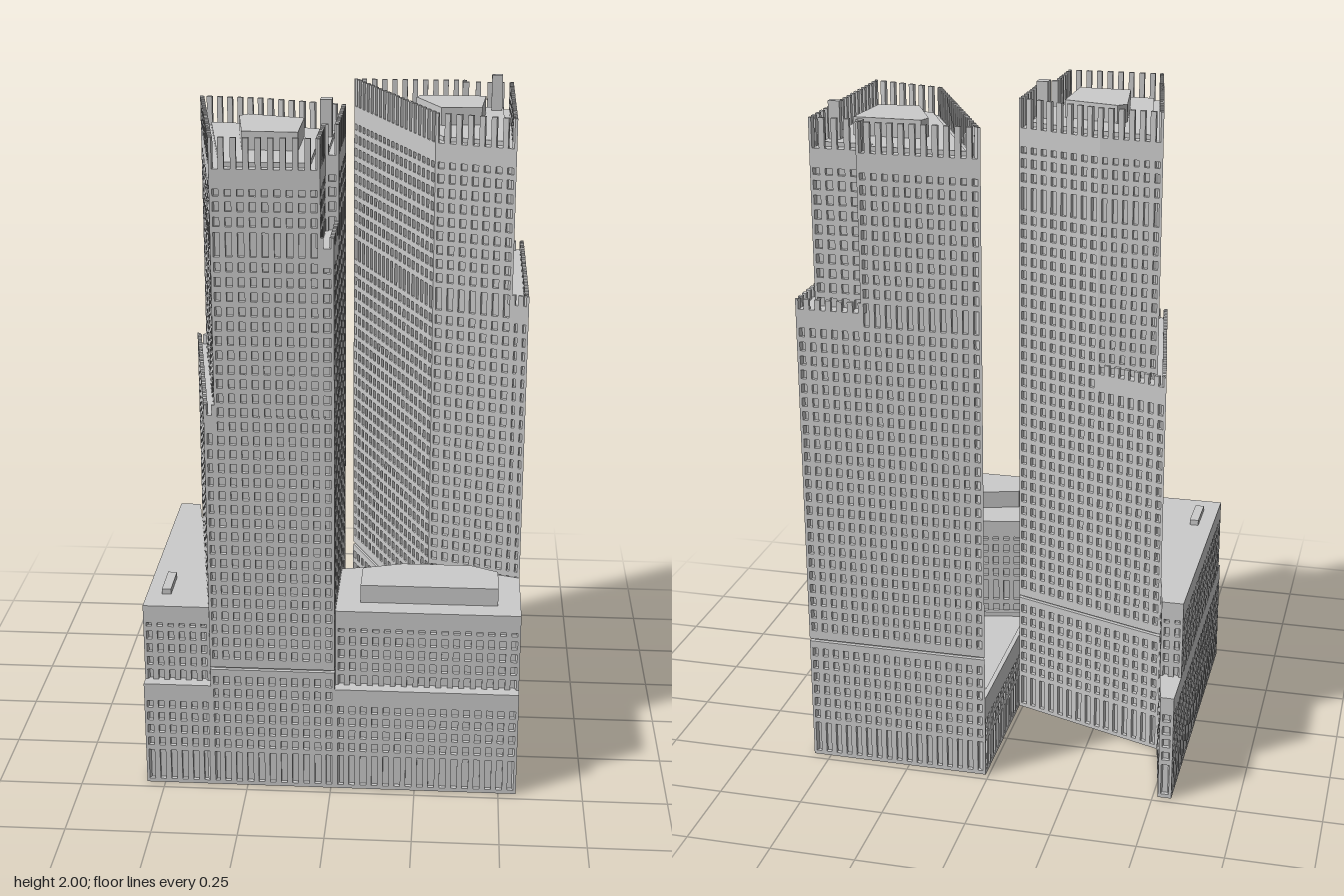
import * as THREE from 'three';
import { mergeGeometries } from 'three/addons/utils/BufferGeometryUtils.js';

const DEPTH = 0.012;   // window recess
const BAY = 0.033;     // pier spacing
const FLOOR = 0.042;   // storey height
const SLAB = 0.016;    // spandrel height
const material = new THREE.MeshStandardMaterial({ color: 0xcccccc, flatShading: true });

// Vertical prism over a plan outline of [x, z] points
function prism(pts, y0, y1) {
  const shape = new THREE.Shape(pts.map(([x, z]) => new THREE.Vector2(x, -z)));
  return new THREE.ExtrudeGeometry(shape, { depth: y1 - y0, bevelEnabled: false })
    .rotateX(-Math.PI / 2).translate(0, y0, 0);
}

function edge(pts, i) {
  const a = pts[i], b = pts[(i + 1) % pts.length];
  const len = Math.hypot(b[0] - a[0], b[1] - a[1]);
  const d = [(b[0] - a[0]) / len, (b[1] - a[1]) / len];
  return { a, b, len, d, n: [-d[1], d[0]] };   // n points inward
}

// Mitred inward offset of an outline
function inset(pts, dist) {
  return pts.map((p, i) => {
    const m = edge(pts, (i + pts.length - 1) % pts.length).n, n = edge(pts, i).n;
    const k = dist / (1 + m[0] * n[0] + m[1] * n[1]);
    return [p[0] + (m[0] + n[0]) * k, p[1] + (m[1] + n[1]) * k];
  });
}

// Building volume with recessed windows. One letter per wall:
// f = solid band topped by fins, b = solid band, c = wall continues above, x = plain wall
function block(name, pts, y0, y1, walls, finHeight = 0.03) {
  const inner = inset(pts, DEPTH);
  const parts = [prism(inner, y0, y1)];
  const tower = y0 === 0 && y1 > 0.6;
  pts.forEach((_, i) => {
    const kind = walls[i];
    const { a, b, len, d, n } = edge(pts, i);
    const ai = inner[i], bi = inner[(i + 1) % pts.length];
    const strip = (lo, hi) => parts.push(prism([a, b, bi, ai], lo, hi));
    if (kind === 'x') return strip(y0, y1);

    // spandrels, plinth and top band
    const band = kind === 'c' ? 0 : 0.055;
    if (band) strip(y1 - band, y1);
    if (y0 === 0) strip(0, 0.012);
    for (let y = 0.11; y + SLAB < y1 - band; y += FLOOR) if (y >= y0) strip(y, y + SLAB);
    if (tower) { strip(0.366, 0.385); strip(0.393, 0.41); }

    // piers, rising past the band as fins
    const s0 = (ai[0] - a[0]) * d[0] + (ai[1] - a[1]) * d[1];
    const s1 = len + (bi[0] - b[0]) * d[0] + (bi[1] - b[1]) * d[1];
    const at = (t, k) => [a[0] + d[0] * t + n[0] * k, a[1] + d[1] * t + n[1] * k];
    const count = Math.max(1, Math.round(len / BAY));
    const top = y1 + (kind === 'f' ? finHeight : 0);
    for (let j = 0; j <= count; j++) {
      const c = (len * j) / count;
      const t0 = Math.max(0, c - 0.008), t1 = Math.min(len, c + 0.008);
      const u0 = j === 0 ? s0 : Math.min(Math.max(t0, s0), s1 - 0.001);
      const u1 = j === count ? s1 : Math.max(Math.min(t1, s1), u0 + 0.001);
      const quad = [at(t0, 0), at(t1, 0), at(u1, DEPTH), at(u0, DEPTH)];
      if (tower) {
        // thin groove running round the tower
        parts.push(prism(quad, y0, 0.385), prism(quad, 0.393, top));
      } else parts.push(prism(quad, y0, top));
    }
  });
  return named(name, mergeGeometries(parts));
}

function named(name, geometry) {
  const mesh = new THREE.Mesh(geometry, material);
  mesh.name = name;
  return mesh;
}

const solid = (name, pts, y0, y1) => named(name, prism(pts, y0, y1));
const rect = (x0, z0, x1, z1) => [[x0, z0], [x1, z0], [x1, z1], [x0, z1]];

function group(name, ...children) {
  const g = new THREE.Group();
  g.name = name;
  g.add(...children);
  return g;
}

export function createModel() {
  const FIN = 0.085, ROOF = 1.88;

  // Tower at the front, stepping back on its outer side and one corner
  const frontTop = [[-0.43, -0.15], [-0.245, -0.127], [0.012, -0.035], [0.012, 0.275],
    [-0.025, 0.275], [-0.025, 0.472], [-0.325, 0.472]];
  const frontTower = group('frontTower',
    block('frontTowerLower', [[-0.465, -0.205], [-0.245, -0.127], [0.012, -0.035], [0.012, 0.472],
      [-0.325, 0.472], [-0.355, 0.472]], 0, 1.18, 'fcccff'),
    block('frontTowerMiddle', [[-0.43, -0.15], [-0.245, -0.127], [0.012, -0.035], [0.012, 0.275],
      [0.012, 0.472], [-0.025, 0.472], [-0.325, 0.472]], 1.18, 1.665, 'cccffcc'),
    block('frontTowerUpper', frontTop, 1.665, ROOF, 'fffffff', FIN),
    solid('frontTowerRoof', inset(frontTop, 0.03), ROOF, 1.893),
    solid('frontTowerPenthouse', [[-0.29, 0.05], [-0.265, 0.025], [-0.1, 0.077], [-0.1, 0.287],
      [-0.257, 0.28]], ROOF, 1.945),
    solid('frontTowerVent', rect(-0.054, 0.05, -0.02, 0.09), ROOF, 2));

  // Tower at the back, stepping back on its outer side
  const backTop = [[0.01, -0.475], [0.36, -0.475], [0.36, -0.443], [0.505, -0.443],
    [0.505, 0.1595], [0.275, 0.085]];
  const backTower = group('backTower',
    block('backTowerLower', [[0.01, -0.475], [0.36, -0.475], [0.553, -0.475], [0.553, 0.175],
      [0.505, 0.1595], [0.275, 0.085]], 0, 1.425, 'cfffcc'),
    block('backTowerUpper', backTop, 1.425, ROOF, 'ffffff', FIN),
    solid('backTowerRoof', inset(backTop, 0.03), ROOF, 1.893),
    solid('backTowerPenthouse', [[0.21, -0.28], [0.222, -0.315], [0.42, -0.31], [0.407, -0.118],
      [0.288, -0.107]], ROOF, 1.945),
    solid('backTowerVent', rect(0.437, -0.376, 0.47, -0.355), ROOF, 2));

  // Low wing along the -x side
  const sideWing = group('sideWing',
    block('sideWingLower', [[-0.555, -0.478], [-0.515, -0.478], [-0.465, -0.205], [-0.355, 0.472],
      [-0.555, 0.472]], 0, 0.33, 'bbxbb'),
    block('sideWingUpper', [[-0.555, -0.345], [-0.491, -0.345], [-0.465, -0.205], [-0.36, 0.44],
      [-0.555, 0.44]], 0.33, 0.57, 'bbxbb'),
    solid('sideWingVent', rect(-0.51, 0.235, -0.483, 0.357), 0.57, 0.587));

  // Low wing in front of the back tower
  const frontWing = group('frontWing',
    block('frontWingLower', [[0.012, 0.14], [0.275, 0.085], [0.553, 0.175], [0.553, 0.472],
      [0.012, 0.472]], 0, 0.33, 'cxbbx'),
    block('frontWingUpper', [[0.012, 0.14], [0.275, 0.085], [0.553, 0.175], [0.553, 0.44],
      [0.012, 0.44]], 0.33, 0.57, 'bxbbx'),
    solid('frontWingPenthouse', [[0.082, 0.25], [0.2, 0.213], [0.405, 0.213], [0.486, 0.255],
      [0.486, 0.375], [0.082, 0.375]], 0.57, 0.625));

  // Low triangular link between the towers, with a small parapet
  const link = [[0.01, -0.475], [0.275, 0.085], [0.012, 0.14]];
  const curb = inset(link, 0.014);
  const parapet = link.map((p, i) => {
    const j = (i + 1) % 3;
    return prism([p, link[j], curb[j], curb[i]], 0.24, 0.255);
  });
  const courtLink = group('courtLink',
    block('courtLinkBody', link, 0, 0.24, 'xxb'),
    named('courtLinkParapet', mergeGeometries(parapet)));

  return group('twinTowerBlock', frontTower, backTower, sideWing, frontWing, courtLink);
}
